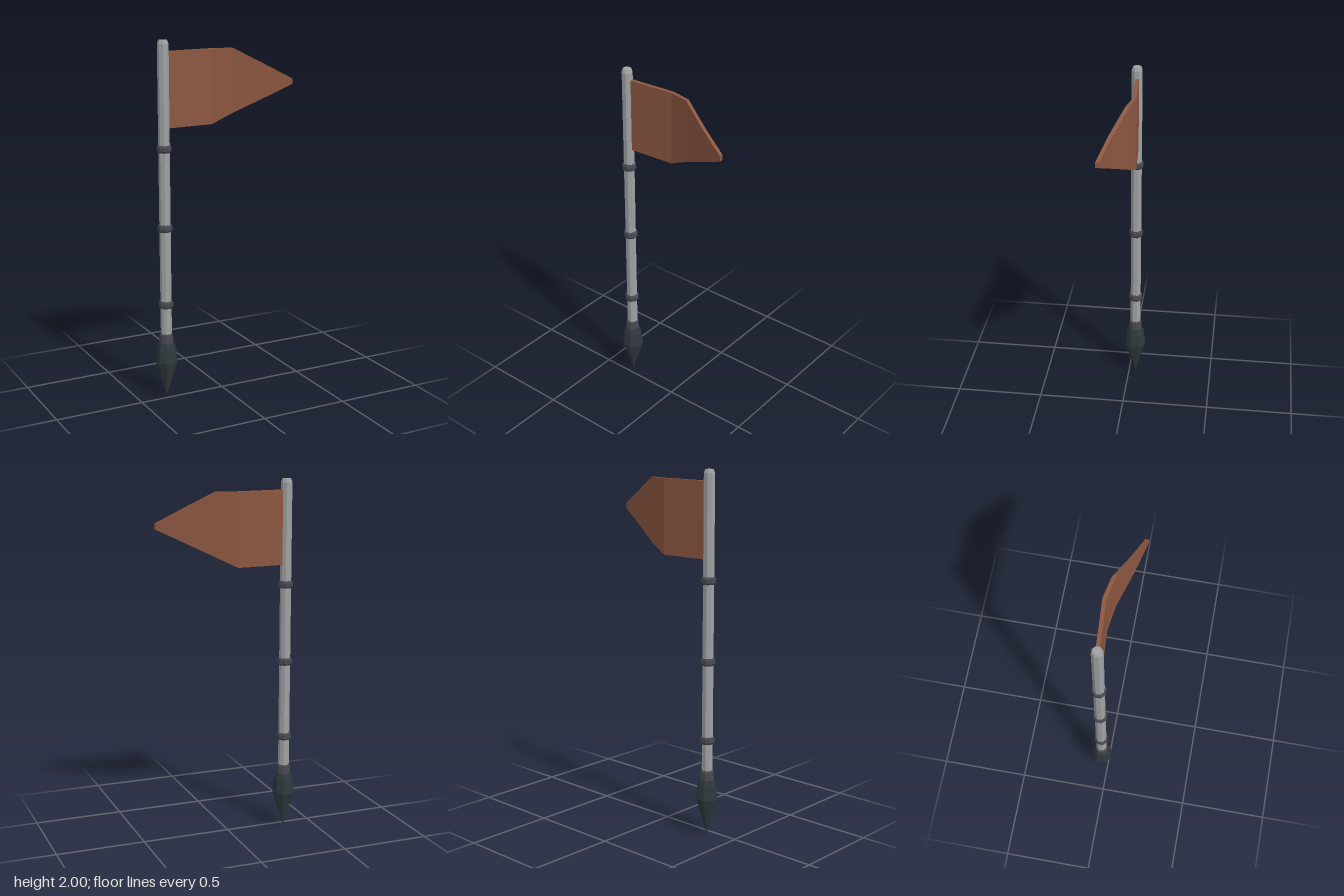
import * as THREE from 'three';

const paint = (name, color, side = THREE.FrontSide) => {
  const m = new THREE.MeshStandardMaterial({ color, flatShading: true, side });
  m.name = name;
  return m;
};

// Eight-sided turned part; profile is [circumradius, y] from bottom to top
function turned(name, profile, material) {
  const geo = new THREE.LatheGeometry(profile.map(([r, y]) => new THREE.Vector2(r, y)), 8);
  geo.rotateY(Math.PI / 8);
  const mesh = new THREE.Mesh(geo, material);
  mesh.name = name;
  return mesh;
}

// Folded cloth: stations of [x, z, bottom y, top y] with constant thickness
function flagGeometry(stations, thickness) {
  const h = thickness / 2;
  const pos = [];
  const loops = stations.map(([x, z, y0, y1]) => [
    [x, y0, z + h], [x, y1, z + h], [x, y1, z - h], [x, y0, z - h],
  ]);
  const quad = (a, b, c, d) => pos.push(...a, ...b, ...c, ...a, ...c, ...d);
  for (let i = 0; i < loops.length - 1; i++) {
    const p = loops[i], q = loops[i + 1];
    for (let k = 0; k < 4; k++) {
      const n = (k + 1) % 4;
      quad(p[k], q[k], q[n], p[n]);
    }
  }
  const first = loops[0], last = loops[loops.length - 1];
  quad(first[0], first[1], first[2], first[3]);
  quad(last[3], last[2], last[1], last[0]);
  const geo = new THREE.BufferGeometry();
  geo.setAttribute('position', new THREE.Float32BufferAttribute(pos, 3));
  geo.computeVertexNormals();
  return geo;
}

export function createModel() {
  const model = new THREE.Group();
  model.name = 'flagSpear';
  const steel = paint('pole grey', 0x9fa1a3);
  const darkMetal = paint('spike dark grey', 0x30383d);
  const ringMetal = paint('ring grey', 0x484850);
  const cloth = paint('flag brown', 0x8c5741);

  const staff = new THREE.Group();
  staff.name = 'staff';
  staff.position.set(-0.33, 0, -0.037);
  model.add(staff);

  // Pole with chamfered top
  staff.add(turned('pole', [[0, 0.34], [0.031, 0.34], [0.031, 1.98], [0.023, 2], [0, 2]], steel));

  // Ground spike and its collar
  staff.add(turned('spike', [[0, 0.005], [0.0625, 0.21], [0.052, 0.29], [0.037, 0.33], [0, 0.33]], darkMetal));
  staff.add(turned('spikeCollar', [[0, 0.32], [0.04, 0.32], [0.037, 0.365], [0.032, 0.375], [0, 0.375]], ringMetal));

  // Bevelled rings along the pole
  [0.545, 0.982, 1.42].forEach((y, i) => {
    const ring = turned(`ring${i + 1}`, [
      [0.029, -0.02], [0.035, -0.02], [0.041, -0.01], [0.041, 0.01], [0.035, 0.02], [0.029, 0.02],
    ], ringMetal);
    ring.position.y = y;
    staff.add(ring);
  });

  // Pointed flag, folded at each station
  const flag = new THREE.Mesh(flagGeometry([
    [-0.305, -0.04, 1.53, 1.94],
    [-0.037, -0.056, 1.53, 1.94],
    [0.08, -0.031, 1.588, 1.94],
    [0.24, 0.033, 1.668, 1.851],
    [0.386, 0.082, 1.74, 1.77],
  ], 0.021), cloth);
  flag.name = 'flag';
  model.add(flag);

  return model;
}
